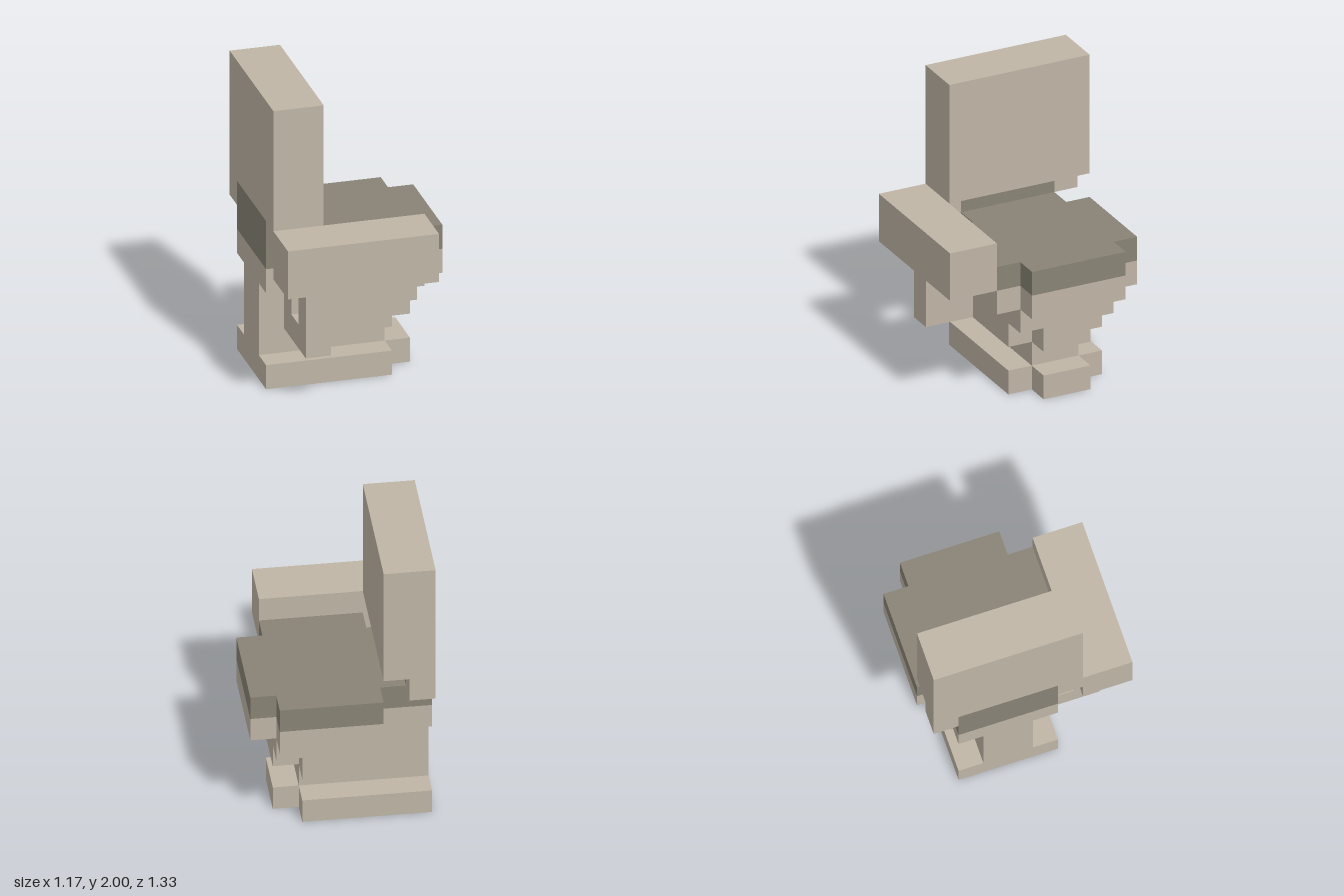
import * as THREE from 'three';

const U = 1 / 6; // one block of the grid the chair is laid out on

export function createModel() {
  const chair = new THREE.Group();
  chair.name = 'blockChair';

  const frame = new THREE.MeshStandardMaterial({ color: 0xbfb5a5 });
  frame.name = 'warm beige';
  const cushion = new THREE.MeshStandardMaterial({ color: 0x888375 });
  cushion.name = 'dark taupe';

  // Upright prism from a plan outline of [x, z] block corners
  function prism(name, outline, y0, y1, material) {
    const shape = new THREE.Shape(outline.map(([x, z]) => new THREE.Vector2((x - 3.5) * U, (z - 4) * U)));
    const geometry = new THREE.ExtrudeGeometry(shape, { depth: (y1 - y0) * U, bevelEnabled: false });
    geometry.rotateX(Math.PI / 2);
    geometry.translate(0, y1 * U, 0);
    const mesh = new THREE.Mesh(geometry, material);
    mesh.name = name;
    chair.add(mesh);
  }

  // Rectangular block between grid corners
  function block(name, [x0, x1], [y0, y1], [z0, z1], material) {
    const geometry = new THREE.BoxGeometry((x1 - x0) * U, (y1 - y0) * U, (z1 - z0) * U);
    const mesh = new THREE.Mesh(geometry, material);
    mesh.name = name;
    mesh.position.set(((x0 + x1) / 2 - 3.5) * U, ((y0 + y1) / 2) * U, ((z0 + z1) / 2 - 4) * U);
    chair.add(mesh);
  }

  // Cross outline: a long arm along x and a wide arm along z
  const cross = ([a0, a1], [c0, c1], [b0, b1], [d0, d1]) => [
    [a0, c0], [b0, c0], [b0, d0], [b1, d0], [b1, c0], [a1, c0],
    [a1, c1], [b1, c1], [b1, d1], [b0, d1], [b0, c1], [a0, c1],
  ];

  // Foot with a short toe, and the pedestal on it
  prism('foot', [[0, 1], [5, 1], [5, 2], [6, 2], [6, 4], [5, 4], [5, 5], [0, 5]], 0, 1, frame);
  block('pedestal', [0, 5], [1, 2], [2, 4], frame);

  // Bowl widening in steps
  prism('lowerBowl', cross([0, 6], [2, 4], [2, 5], [1, 5]), 2, 3, frame);
  prism('upperBowl', [[0, 2], [1, 2], [1, 1], [6, 1], [6, 5], [1, 5], [1, 4], [0, 4]], 3, 4, frame);

  // Rim and the dark seat above it share one outline
  const seatOutline = cross([0, 7], [1, 5], [2, 6], [0, 6]);
  prism('rim', seatOutline, 4, 5, frame);
  prism('seat', seatOutline, 5, 6, cushion);

  // Backrest on a dark hinge and two corner posts
  block('hinge', [0, 1], [6, 7], [1, 5], cushion);
  for (const z of [0, 5]) block('backrestPost', [0, 1], [6, 7], [z, z + 1], frame);
  block('backrest', [0, 2], [7, 12], [0, 6], frame);

  // Side armrest with its bent strut
  block('armrest', [0, 6], [5, 7], [6, 8], frame);
  block('armrestStrut', [1, 2], [3, 5], [6, 7], frame);
  block('armrestBracket', [1, 2], [2, 3], [4, 7], frame);

  return chair;
}
